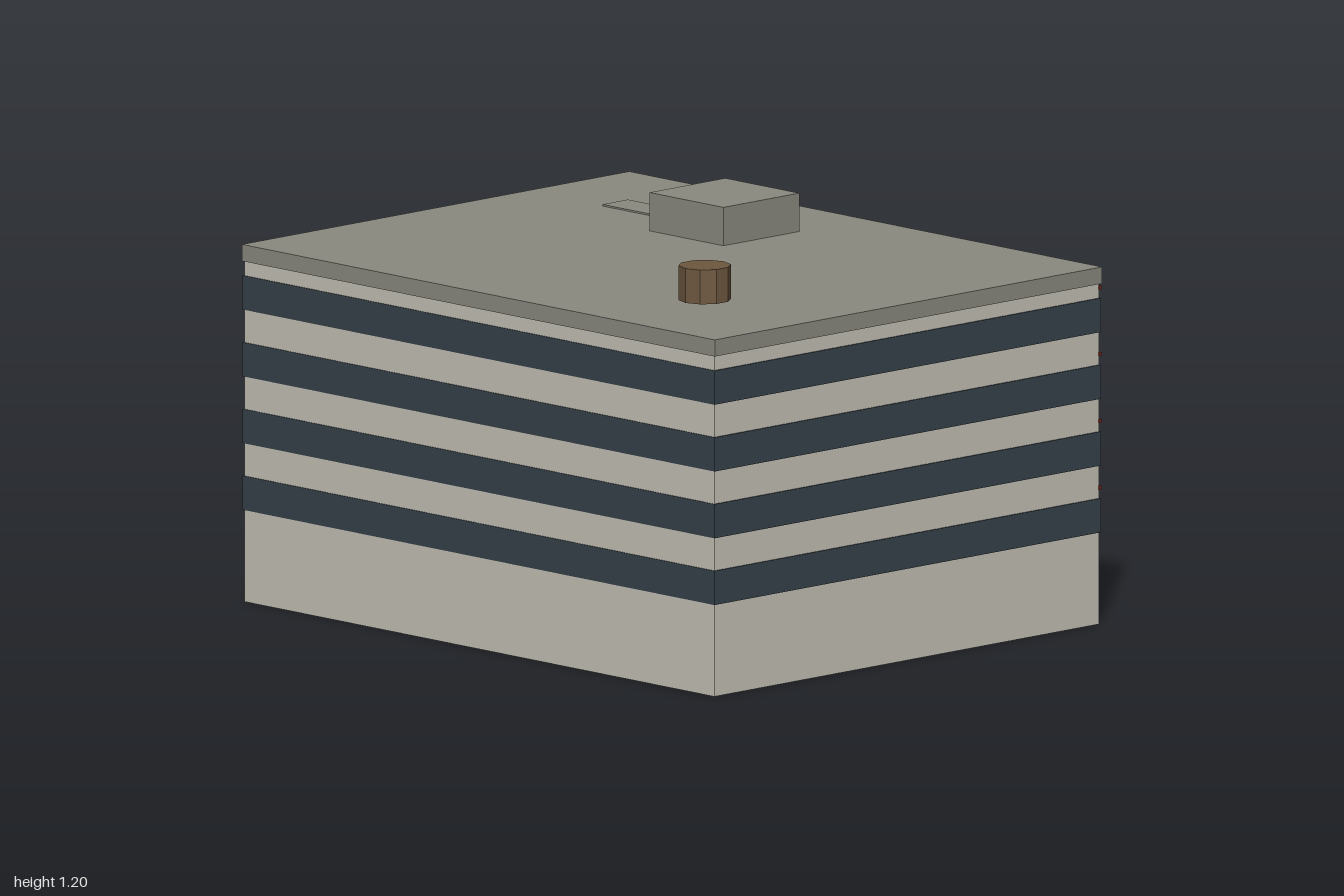
import * as THREE from 'three';

const mat = (name, color) => {
  const m = new THREE.MeshStandardMaterial({ color });
  m.name = name;
  return m;
};

export function createModel() {
  const wall = mat('wall', 0xc6c2b7);
  const roofGrey = mat('roofGrey', 0x8b8a80);
  const glass = mat('bandGlass', 0x36424a);
  const red = mat('redTrim', 0x8c2c26);
  const opening = mat('darkOpening', 0x3b3029);
  const wood = mat('tankWood', 0x6e583f);

  const model = new THREE.Group();

  // Box given by its extents on each axis
  const box = (name, material, [x0, x1], [y0, y1], [z0, z1]) => {
    const mesh = new THREE.Mesh(new THREE.BoxGeometry(x1 - x0, y1 - y0, z1 - z0), material);
    mesh.position.set((x0 + x1) / 2, (y0 + y1) / 2, (z0 + z1) / 2);
    mesh.name = name;
    model.add(mesh);
    return mesh;
  };

  // Main block and roof slab
  box('body', wall, [-0.994, 0.994], [0, 1.02], [-0.653, 0.919]);
  box('roofSlab', roofGrey, [-1, 1], [1.02, 1.07], [-0.659, 0.923]);

  // Window bands all round, with a thin red line above each on the back wall
  for (let i = 0; i < 4; i++) {
    const y = 0.275 + i * 0.2;
    box('windowBand', glass, [-0.998, 0.998], [y, y + 0.102], [-0.657, 0.922]);
    box('redLine', red, [-0.998, 0.998], [y + 0.128, y + 0.14], [-0.658, -0.65]);
  }

  // Roof equipment
  box('stairHousing', roofGrey, [-0.315, -0.002], [1.07, 1.185], [-0.39, -0.08]);
  box('roofHatch', roofGrey, [-0.68, -0.42], [1.07, 1.075], [-0.345, -0.24]);
  const tank = new THREE.Mesh(
    new THREE.CylinderGeometry(0.078, 0.078, 0.103, 10).toNonIndexed(), wood);
  tank.geometry.computeVertexNormals();
  tank.position.set(0.625, 1.145, 0.602);
  tank.name = 'waterTank';
  model.add(tank);

  // Ground floor windows on the back wall
  const windows = [[0.8, 0.925], [0.62, 0.745], [-0.025, 0.17],
    [-0.36, -0.23], [-0.56, -0.437], [-0.914, -0.775]];
  for (const span of windows) box('window', opening, span, [0.085, 0.172], [-0.657, -0.65]);

  // Doors on the back wall
  for (const span of [[0.21, 0.42], [-0.72, -0.618]])
    box('door', opening, span, [0.002, 0.165], [-0.657, -0.65]);

  // Entrance canopy with red fascia and four posts
  box('canopy', wall, [0.062, 0.562], [0.205, 0.23], [-0.912, -0.653]);
  box('canopyFascia', red, [0.053, 0.568], [0.195, 0.243], [-0.923, -0.911]);
  for (const x of [0.088, 0.536]) for (const z of [-0.69, -0.887]) {
    const post = new THREE.Mesh(new THREE.CylinderGeometry(0.0095, 0.0095, 0.205, 8), roofGrey);
    post.position.set(x, 0.1025, z);
    post.name = 'canopyPost';
    model.add(post);
  }

  return model;
}
